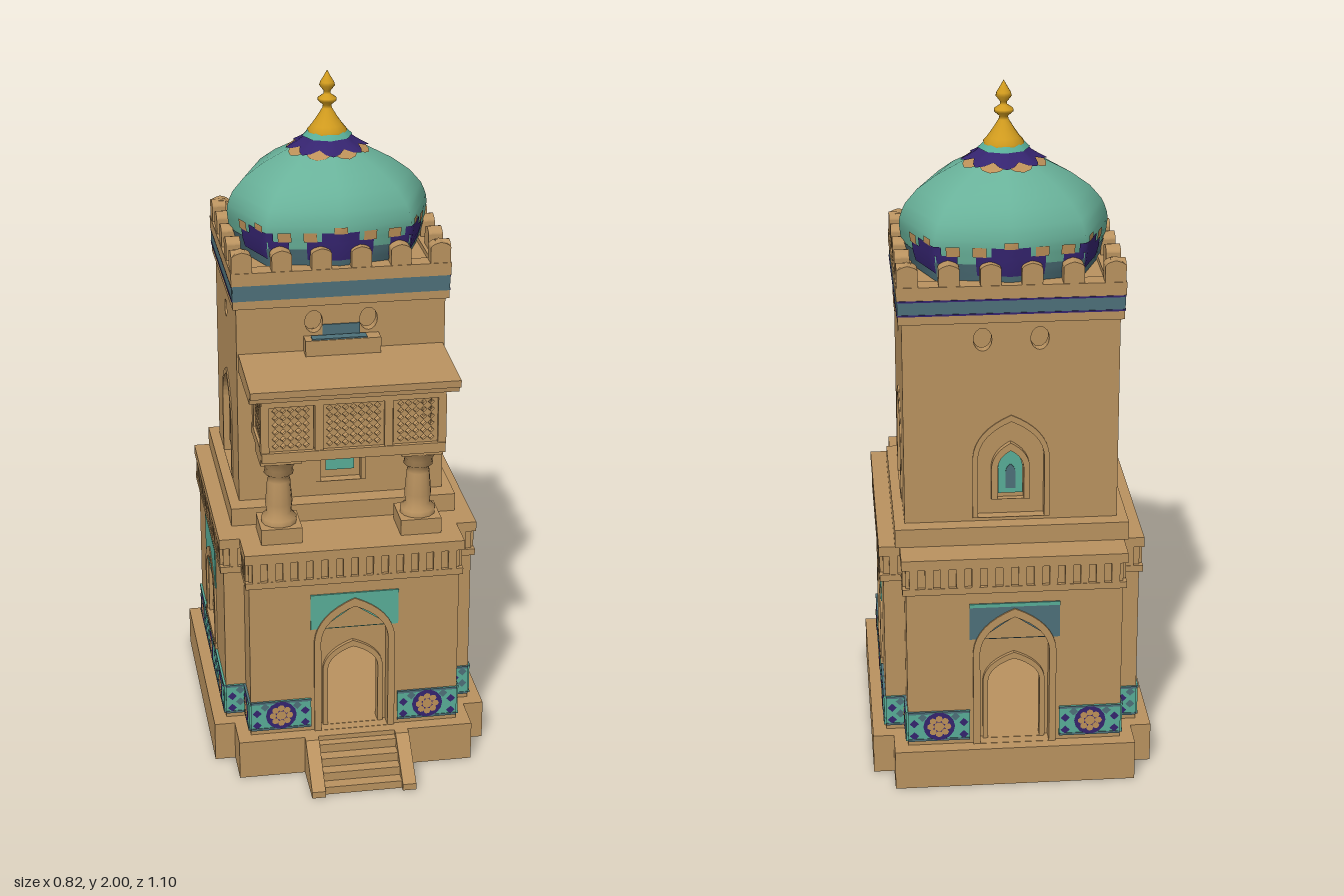
import * as THREE from 'three';
import { mergeVertices } from 'three/addons/utils/BufferGeometryUtils.js';

const mat = (name, color) => Object.assign(new THREE.MeshStandardMaterial({ color }), { name });
const sand = mat('sandstone', 0xb9925f), dome = mat('domeTeal', 0x69b29a), teal = mat('tileTeal', 0x58ad97);
const purple = mat('tilePurple', 0x35246f), tan = mat('tileTan', 0xbd9159);
const gold = mat('gold', 0xd29c1e), slate = mat('slateBlue', 0x4d7079);
const PI = Math.PI;

function add(parent, name, geo, m, x = 0, y = 0, z = 0) {
  const mesh = new THREE.Mesh(geo, m);
  mesh.name = name;
  mesh.position.set(x, y, z);
  parent.add(mesh);
  return mesh;
}
// box given by its minimum and maximum along each axis
const box = (p, name, m, x0, x1, y0, y1, z0, z1) =>
  add(p, name, new THREE.BoxGeometry(x1 - x0, y1 - y0, z1 - z0), m, (x0 + x1) / 2, (y0 + y1) / 2, (z0 + z1) / 2);
const extrude = (shape, depth) => new THREE.ExtrudeGeometry(shape, { depth, bevelEnabled: false, curveSegments: 8 });
function group(parent, name, x, z, ry) {
  const g = new THREE.Group();
  g.name = name;
  g.position.set(x, 0, z);
  g.rotation.y = ry;
  parent.add(g);
  return g;
}
// pointed arch outline
function arch(w, y0, spring, top, S = THREE.Shape) {
  const s = new S(), h = w / 2, c = spring + (top - spring) * 0.65;
  s.moveTo(-h, y0).lineTo(h, y0).lineTo(h, spring);
  s.quadraticCurveTo(h * 0.95, c, 0, top).quadraticCurveTo(-h * 0.95, c, -h, spring);
  return s;
}
function rect(w, y0, y1) {
  return new THREE.Shape().moveTo(-w / 2, y0).lineTo(w / 2, y0).lineTo(w / 2, y1).lineTo(-w / 2, y1);
}
function pierced(shape, holes) {
  shape.holes.push(...holes);
  return shape;
}
const archHole = (...a) => arch(...a, THREE.Path);
const ovalHole = (x, y, rx, ry) => new THREE.Path().absellipse(x, y, rx, ry, 0, 2 * PI);
// raised moulding following an arch
const archFrame = (p, w, y0, spring, top, t, z, d) =>
  add(p, 'archFrame', extrude(pierced(arch(w + 2 * t, y0, spring, top + t * 1.3), [archHole(w, y0 + 0.001, spring, top)]), d), sand, 0, 0, z);
// thin coloured plate around the head of an arch
const spandrel = (p, m, y0, peak) => add(p, 'spandrel', extrude(pierced(rect(0.26, y0, 0.573),
  [new THREE.Path().moveTo(-0.1, y0 + 0.001).lineTo(0.1, y0 + 0.001).lineTo(0, peak)]), 0.003), m);
// cross-shaped plan shared by plinth, body and cornice
function crossSlab(p, name, y0, y1, g) {
  const a = 0.31 + g, b = 0.37 + g, f = 0.365 + g, c = 0.25 + g, d = -0.41 - g, e = -0.51 - g;
  const half = [[a, f], [a, c], [b, c], [b, d], [a, d], [a, e]];
  const pts = [...half, ...half.map(([x, z]) => [-x, z]).reverse()].map(([x, z]) => new THREE.Vector2(x, -z));
  add(p, name, extrude(new THREE.Shape(pts), y1 - y0).rotateX(-PI / 2), sand, 0, y0, 0);
}
// wall faces of the cross plan on the +x half: x, z, turn, length, medallions
const faces = [[0.22, 0.365, 0, 0.18, 1], [0.34, 0.25, 0, 0.06, 0], [0.31, 0.3075, PI / 2, 0.115, 1], [0.37, -0.08, PI / 2, 0.66, 3],
  [0.31, -0.46, PI / 2, 0.1, 1], [0.34, -0.41, PI, 0.06, 0], [0.22, -0.51, PI, 0.18, 1]];

function tileBand(p, w, n) {
  box(p, 'tileBase', teal, -w / 2, w / 2, 0.135, 0.23, 0, 0.005);
  for (const y of [0.135, 0.223]) box(p, 'tileBorder', slate, -w / 2, w / 2, y, y + 0.007, 0, 0.007);
  const centres = Array.from({ length: n }, (_, i) => (i - (n - 1) / 2) * 0.245);
  for (const x of centres) {
    add(p, 'medallion', new THREE.CircleGeometry(0.046, 14), purple, x, 0.183, 0.0075);
    for (let k = 0; k < 8; k++)
      add(p, 'petal', new THREE.CircleGeometry(0.0105, 7), tan, x + 0.025 * Math.cos(k * PI / 4), 0.183 + 0.025 * Math.sin(k * PI / 4), 0.009);
    add(p, 'flowerHeart', new THREE.CircleGeometry(0.015, 10), tan, x, 0.183, 0.009);
  }
  // mosaic of small lozenges around the medallions
  const cols = Math.floor(w / 0.024);
  for (let c = 0; c < cols; c++) for (let r = 0; r < 4; r++) {
    const x = (c - (cols - 1) / 2) * 0.024, y = 0.153 + r * 0.02;
    if ((c + r) % 2 || centres.some(m => Math.hypot(x - m, y - 0.183) < 0.05)) continue;
    add(p, 'lozenge', new THREE.CircleGeometry(0.0135, 4), c % 2 ? slate : purple, x, y, 0.0065);
  }
}

// dome: an eight-sided swelling profile, evaluated at angle and height
const profile = [[1.47, 0.27], [1.53, 0.29], [1.6, 0.298], [1.645, 0.283], [1.69, 0.245], [1.73, 0.19], [1.765, 0.125], [1.79, 0.078], [1.81, 0.055], [1.83, 0.035]];
function domePoint(phi, y, off) {
  let i = 0;
  while (i < profile.length - 2 && y > profile[i + 1][0]) i++;
  const [a, b] = [profile[i], profile[i + 1]];
  const r = a[1] + (b[1] - a[1]) * (y - a[0]) / (b[0] - a[0]) + off;
  const corner = k => {
    const squash = (k % 2 ? 0.03 : -0.15) * (r / 0.3) ** 2;
    return new THREE.Vector3(r * Math.sin(k * PI / 4), y + off * 0.6, r * Math.cos(k * PI / 4) * (1 + squash));
  };
  const k = Math.floor(phi / (PI / 4) + 1e-6);
  return corner(k).lerp(corner(k + 1), phi / (PI / 4) - k);
}
function domePatch(p, name, m, phi0, phi1, n, rows, low, high, off) {
  let geo = new THREE.PlaneGeometry(1, 1, n, rows);
  const pos = geo.attributes.position;
  for (let i = 0; i < pos.count; i++) {
    const phi = phi0 + (pos.getX(i) + 0.5) * (phi1 - phi0), y0 = low(phi);
    const v = domePoint(phi, y0 + (pos.getY(i) + 0.5) * (high - y0), off);
    pos.setXYZ(i, v.x, v.y, v.z);
  }
  geo.deleteAttribute('uv');
  geo.deleteAttribute('normal');
  geo = mergeVertices(geo, 1e-4);
  geo.computeVertexNormals();
  add(p, name, geo, m);
}

// pierced screen with diamond openings
function lattice(p, w, x, z) {
  const holes = [], n = Math.round(w / 0.026), dx = (w - 0.02) / n, dy = 0.13 / 6;
  for (let r = 0; r < 6; r++) for (let c = 0; c < n; c++) {
    const cx = (c - (n - 1) / 2) * dx, cy = 1.03 + (r + 0.5) * dy, a = dx * 0.43, b = dy * 0.43;
    holes.push(new THREE.Path().moveTo(cx - a, cy).lineTo(cx, cy - b).lineTo(cx + a, cy).lineTo(cx, cy + b));
  }
  add(p, 'latticeScreen', extrude(pierced(rect(w, 1.02, 1.17), holes), 0.012), sand, x, 0, z);
}

export function createModel() {
  const model = new THREE.Group();
  model.name = 'domedTower';

  // plinth and entrance steps
  crossSlab(model, 'plinth', 0, 0.12, 0.04);
  for (let i = 0; i < 4; i++) box(model, 'step', sand, -0.12, 0.12, 0, 0.105 - i * 0.027, 0.39, 0.43 + i * 0.035);
  const cheek = new THREE.Shape().moveTo(0.39, 0).lineTo(0.55, 0).lineTo(0.55, 0.02).lineTo(0.425, 0.12).lineTo(0.39, 0.12);
  for (const x of [-0.115, 0.155]) add(model, 'stairCheek', extrude(cheek, 0.04).rotateY(-PI / 2), sand, x);

  // lower storey: doors front and back, windows left and right
  for (const [z, ry, m] of [[0.365, 0, teal], [-0.51, PI, slate]]) {
    const g = group(model, 'doorWall', 0, z, ry);
    add(g, 'wall', extrude(pierced(rect(0.62, 0.115, 0.62), [archHole(0.2, 0.118, 0.42, 0.53)]), 0.035), sand, 0, 0, -0.035);
    add(g, 'innerDoorway', extrude(pierced(rect(0.26, 0.115, 0.56), [archHole(0.15, 0.118, 0.31, 0.38)]), 0.025), sand, 0, 0, -0.06);
    spandrel(g, m, 0.46, 0.53);
    box(g, 'spandrelBorder', teal, -0.13, 0.13, 0.562, 0.573, 0, 0.005);
    archFrame(g, 0.2, 0.12, 0.42, 0.53, 0.02, 0, 0.008);
    archFrame(g, 0.15, 0.12, 0.31, 0.38, 0.015, -0.035, 0.012);
  }
  for (const s of [-1, 1]) {
    const g = group(model, 'windowWall', s * 0.37, -0.08, s * PI / 2);
    const w = group(g, 'archedWindow', s * 0.012, 0, 0);
    add(g, 'wall', extrude(pierced(rect(0.66, 0.115, 0.62), [archHole(0.2, 0.25, 0.4, 0.49)]), 0.03), sand, 0, 0, -0.03);
    add(w, 'innerWindow', extrude(pierced(rect(0.27, 0.22, 0.52), [archHole(0.075, 0.28, 0.35, 0.4)]), 0.02), sand, 0, 0, -0.05);
    spandrel(w, teal, 0.445, 0.49);
    archFrame(w, 0.2, 0.25, 0.4, 0.49, 0.025, 0, 0.006);
    archFrame(w, 0.11, 0.25, 0.37, 0.43, 0.02, -0.03, 0.02);
    box(w, 'windowSill', sand, -0.13, 0.13, 0.235, 0.255, -0.04, 0.008);
    for (const [z0, z1] of [[0.21, 0.365], [-0.51, -0.37]])
      box(model, 'cornerPier', sand, Math.min(s * 0.25, s * 0.31), Math.max(s * 0.25, s * 0.31), 0.115, 0.62, z0, z1);
    for (const [z0, z1] of [[0.21, 0.25], [-0.41, -0.37]])
      box(model, 'cornerReturn', sand, Math.min(s * 0.25, s * 0.37), Math.max(s * 0.25, s * 0.37), 0.115, 0.62, z0, z1);
    // tile band and cornice brackets
    for (const [x, z, ry, len, n] of faces) {
      const f = group(model, 'facade', s * x, z, s * ry);
      tileBand(f, len, n);
      const full = len === 0.18 ? 0.31 : len, count = Math.round(full / 0.045), mid = len === 0.18 ? (ry ? s : -s) * 0.065 : 0;
      for (let i = 0; i < count; i++) {
        const u = mid + (i + 0.5 - count / 2) * full / count;
        box(f, 'corniceBracket', sand, u - 0.012, u + 0.012, 0.63, 0.692, -0.005, 0.009);
      }
    }
  }
  crossSlab(model, 'corniceLower', 0.61, 0.63, 0.01);
  crossSlab(model, 'corniceFrieze', 0.63, 0.69, 0);
  crossSlab(model, 'corniceUpper', 0.69, 0.72, 0.012);

  // upper tower
  box(model, 'towerLedge', sand, -0.335, 0.335, 0.72, 0.775, -0.43, 0.175);
  for (const [x, z, ry, w] of [[0, 0.12, 0, 0.61], [0, -0.385, PI, 0.61], [0.305, -0.1325, PI / 2, 0.505], [-0.305, -0.1325, -PI / 2, 0.505]]) {
    const g = group(model, 'towerWall', x, z, ry), small = ry === 0;
    const vents = w > 0.6 ? [-0.08, 0.08].map(u => ovalHole(u, 1.328, 0.026, 0.034)) : [ovalHole(0, 1.29, 0.024, 0.026)];
    const niche = small ? [0.12, 0.82, 0.92, 0.98] : [0.19, 0.785, 0.97, 1.08];
    add(g, 'wall', extrude(pierced(rect(w, 0.77, 1.4), [archHole(...niche), ...vents]), 0.03), sand, 0, 0, -0.03);
    add(g, 'nicheBack', new THREE.BoxGeometry(0.23, 0.36, 0.01), sand, 0, 0.94, -0.033);
    archFrame(g, ...niche, 0.015, 0, 0.004);
    add(g, 'windowPane', extrude(small ? arch(0.085, 0.845, 0.91, 0.95) : arch(0.07, 0.85, 0.93, 0.985), 0.006), teal, 0, 0, -0.028);
    if (!small) {
      archFrame(g, 0.075, 0.835, 0.93, 0.985, 0.018, -0.03, 0.02);
      add(g, 'paneInset', extrude(arch(0.028, 0.865, 0.915, 0.94), 0.003), slate, 0, 0, -0.022);
    }
    // painted band, parapet and merlons
    const h = w / 2 + 0.01;
    box(g, 'parapetBase', sand, -h, h, 1.38, 1.455, -0.04, 0.01);
    box(g, 'parapet', sand, -h - 0.004, h + 0.004, 1.452, 1.49, -0.04, 0.014);
    box(g, 'blueBand', slate, -h, h, 1.405, 1.452, 0.005, 0.0115);
    if (!small) for (const y of [1.405, 1.446]) box(g, 'bandLine', purple, -h, h, y, y + 0.005, 0.007, 0.013);
    const n = w > 0.6 ? 6 : 5;
    for (let i = 0; i < n; i++)
      add(g, 'merlon', extrude(arch(0.058, 1.48, 1.535, 1.552), 0.042), sand, (i / (n - 1) - 0.5) * (w - 0.036), 0, -0.03);
  }
  box(model, 'towerRoof', sand, -0.3, 0.3, 1.45, 1.475, -0.38, 0.115);
  box(model, 'ventShelf', sand, -0.11, 0.11, 1.225, 1.285, 0.115, 0.163);
  box(model, 'ventShelfTile', slate, -0.09, 0.07, 1.282, 1.289, 0.13, 0.16);
  box(model, 'ventWallTile', slate, -0.055, 0.055, 1.285, 1.318, 0.118, 0.124);

  // balcony with pierced screens on two columns
  const balcony = group(model, 'balcony', 0, 0, 0);
  box(balcony, 'balconyFloor', sand, -0.265, 0.265, 0.995, 1.025, 0.115, 0.35);
  box(balcony, 'balconyLintel', sand, -0.265, 0.265, 1.165, 1.195, 0.115, 0.35);
  const eave = new THREE.Shape().moveTo(0.115, 1.185).lineTo(0.36, 1.185).lineTo(0.362, 1.205).lineTo(0.384, 1.207).lineTo(0.385, 1.228).lineTo(0.115, 1.24);
  add(balcony, 'balconyRoof', extrude(eave, 0.6).rotateY(-PI / 2), sand, 0.3);
  for (const [x, w] of [[-0.18, 0.13], [0, 0.18], [0.18, 0.13]]) lattice(balcony, w, x, 0.325);
  const columnProfile = [[0.052, 0.765], [0.052, 0.785], [0.036, 0.8], [0.04, 0.83], [0.034, 0.9], [0.03, 0.915], [0.044, 0.925], [0.04, 0.94], [0.062, 0.975]].map(p => new THREE.Vector2(...p));
  for (const s of [-1, 1]) {
    for (const x of [0.1, 0.255]) box(balcony, 'screenPost', sand, s * x - 0.012, s * x + 0.012, 1.02, 1.17, 0.32, 0.347);
    box(balcony, 'rearPost', sand, s * 0.25 - 0.012, s * 0.25 + 0.012, 1.02, 1.17, 0.115, 0.15);
    lattice(group(balcony, 'sideScreen', s * 0.245, 0.235, s * PI / 2), 0.18, 0, 0);
    const c = group(balcony, 'column', s * 0.205, 0.255, 0);
    box(c, 'columnBase', sand, -0.06, 0.06, 0.72, 0.768, -0.06, 0.06);
    add(c, 'columnShaft', new THREE.LatheGeometry(columnProfile, 12), sand);
    box(c, 'columnCapital', sand, -0.06, 0.06, 0.972, 0.998, -0.06, 0.06);
  }

  // dome with painted panels and star crown
  const top = group(model, 'dome', 0, -0.1325, 0);
  domePatch(top, 'domeShell', dome, 0, 2 * PI, 8, 18, () => 1.47, 1.83, 0);
  domePatch(top, 'domeBand', slate, 0, 2 * PI, 8, 2, () => 1.475, 1.54, 0.003);
  for (const deg of [0, 52, 128, 180, 232, 308]) {
    const a = deg * PI / 180 + 2 * PI;
    domePatch(top, 'domePanel', purple, a - 0.36, a + 0.36, 8, 2, () => 1.505, 1.562, 0.005);
    domePatch(top, 'domePanelHead', purple, a - 0.2, a + 0.2, 6, 2, () => 1.56, 1.588, 0.005);
    for (const d of [-0.32, 0, 0.32]) domePatch(top, 'domePanelTip', tan, a + d - 0.07, a + d + 0.07, 4, 2, () => d ? 1.56 : 1.585, d ? 1.588 : 1.604, 0.006);
  }
  const wave = phi => Math.abs(Math.cos(phi * 4));
  domePatch(top, 'crownPetals', tan, 0, 2 * PI, 32, 3, phi => 1.776 - 0.014 * Math.abs(Math.sin(phi * 4)), 1.8, 0.004);
  domePatch(top, 'crownStar', purple, 0, 2 * PI, 32, 3, phi => 1.782 - 0.012 * wave(phi), 1.808, 0.007);
  domePatch(top, 'crownRing', teal, 0, 2 * PI, 16, 2, () => 1.802, 1.822, 0.01);

  // gilded finial
  const finial = [[0.056, 1.81], [0.058, 1.825], [0.045, 1.84], [0.03, 1.862], [0.014, 1.888], [0.012, 1.897], [0.027, 1.91], [0.027, 1.918], [0.01, 1.93], [0.01, 1.938], [0.023, 1.955], [0.02, 1.965], [0.008, 1.985], [0, 2]];
  add(top, 'finial', new THREE.LatheGeometry(finial.map(p => new THREE.Vector2(...p)), 14), gold);
  return model;
}
